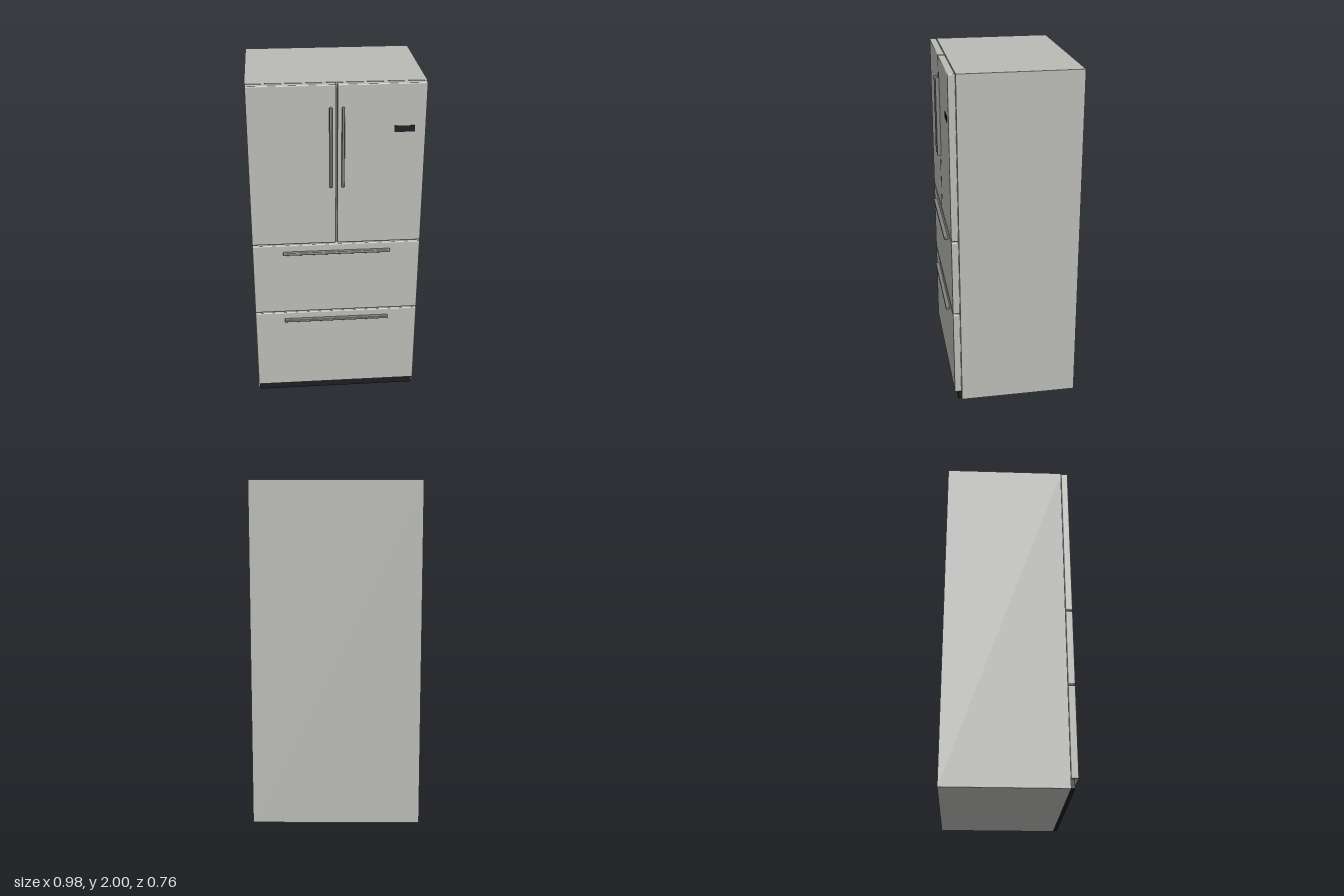
import * as THREE from 'three';
import { RoundedBoxGeometry } from 'three/addons/geometries/RoundedBoxGeometry.js';

export function createModel() {
  const model = new THREE.Group();
  model.name = 'refrigerator';

  const material = (name, color) => {
    const m = new THREE.MeshStandardMaterial({ color });
    m.name = name;
    return m;
  };
  const steel = material('brushed steel', 0xb9b9b5);
  const handleGrey = material('handle grey', 0x808083);
  const black = material('black plastic', 0x1c1c22);

  // Box given by its limits on each axis; radius > 0 rounds the edges
  function block(name, mat, [x0, x1], [y0, y1], [z0, z1], radius = 0) {
    const size = [x1 - x0, y1 - y0, z1 - z0];
    const geometry = radius
      ? new RoundedBoxGeometry(...size, 3, radius)
      : new THREE.BoxGeometry(...size);
    const mesh = new THREE.Mesh(geometry, mat);
    mesh.name = name;
    mesh.position.set((x0 + x1) / 2, (y0 + y1) / 2, (z0 + z1) / 2);
    model.add(mesh);
  }

  const doorZ = [0.315, 0.356];
  const handleZ = [0.354, 0.379];

  // Cabinet and recessed kick plate
  block('cabinet', steel, [-0.491, 0.491], [0, 2], [-0.381, 0.313]);
  block('kickPlate', black, [-0.482, 0.482], [0.003, 0.052], [0.312, 0.335]);

  // Dark gasket behind the doors and drawers
  block('gasket', handleGrey, [-0.48, 0.48], [0.06, 1.99], [0.312, 0.318]);

  // Pair of upper doors with upright handles beside the centre gap
  for (const [side, s] of [['left', 1], ['right', -1]]) {
    const span = (a, b) => (s > 0 ? [a, b] : [-b, -a]);
    block(side + 'Door', steel, span(0.004, 0.488), [1.05, 2], doorZ, 0.006);
    block(side + 'DoorHandle', handleGrey, span(0.026, 0.042), [1.41, 1.876], handleZ, 0.005);
  }

  // Drawers with long horizontal handles near their top edges
  for (const [name, y0, y1, handleY] of [
    ['upperDrawer', 0.59, 1.042, 0.994],
    ['lowerDrawer', 0.055, 0.582, 0.534],
  ]) {
    block(name, steel, [-0.488, 0.488], [y0, y1], doorZ, 0.006);
    block(name + 'Handle', handleGrey, [-0.312, 0.312], [handleY - 0.008, handleY + 0.008], handleZ, 0.005);
  }

  // Control display on the left door
  block('display', black, [0.315, 0.427], [1.724, 1.76], [0.353, 0.358]);

  return model;
}
